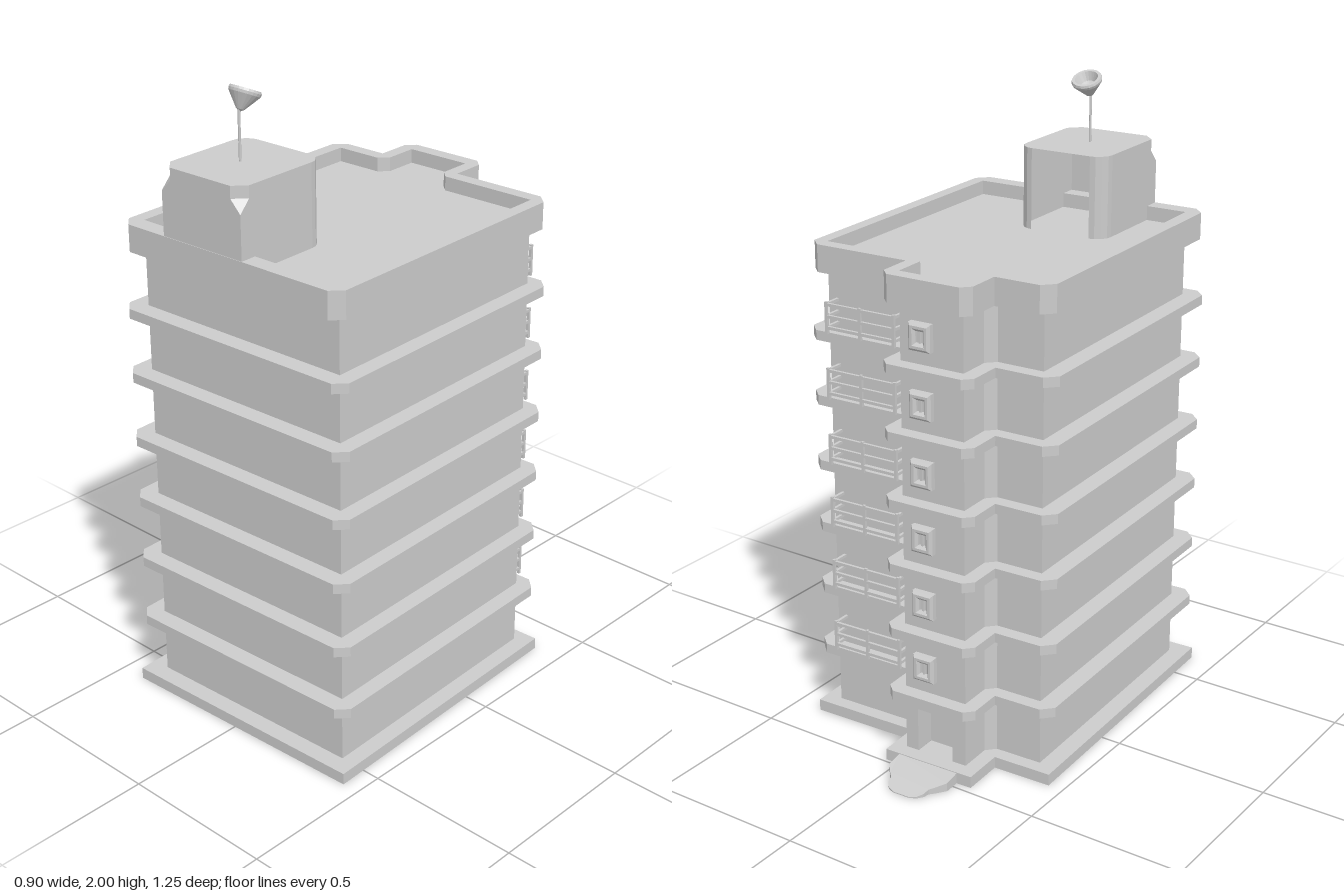
import * as THREE from 'three';

const MAT = new THREE.MeshStandardMaterial({ color: 0xcccccc, flatShading: true, side: THREE.DoubleSide });

function add(parent, name, geo, x = 0, y = 0, z = 0) {
  const m = new THREE.Mesh(geo, MAT);
  m.name = name;
  m.position.set(x, y, z);
  parent.add(m);
  return m;
}

// Replace every corner [x, z, cut] by two points
function chamfer(corners) {
  const n = corners.length, out = [];
  corners.forEach(([x, z, c], i) => {
    for (const [px, pz] of [corners[(i + n - 1) % n], corners[(i + 1) % n]]) {
      const l = Math.hypot(px - x, pz - z);
      out.push([x + (px - x) / l * c, z + (pz - z) / l * c]);
    }
  });
  return out;
}

// Floor plan: rectangle with a stair bay at the back
function plan(x0, x1, zf, zb, bx0, bx1, bz, c, k) {
  return chamfer([[x0, zf, c], [x1, zf, c], [x1, zb, c], [bx1, zb, k],
    [bx1, bz, c * 0.8], [bx0, bz, c * 0.8], [bx0, zb, k], [x0, zb, c]]);
}

// Skin over stacked outlines: levels = [[outline, y], ...]
function loft(levels, closed = true, skip = () => false) {
  const pos = [];
  const A = new THREE.Vector3(), B = new THREE.Vector3();
  const tri = (a, b, c) => {
    A.subVectors(b, a);
    B.subVectors(c, a);
    if (A.cross(B).length() > 1e-9) for (const p of [a, b, c]) pos.push(p.x, p.y, p.z);
  };
  for (let l = 0; l + 1 < levels.length; l++) {
    const [lo, y0] = levels[l], [hi, y1] = levels[l + 1], n = lo.length;
    for (let i = 0; i < (closed ? n : n - 1); i++) {
      if (skip(l, i)) continue;
      const j = (i + 1) % n;
      const a = new THREE.Vector3(lo[i][0], y0, lo[i][1]), b = new THREE.Vector3(lo[j][0], y0, lo[j][1]);
      const c = new THREE.Vector3(hi[j][0], y1, hi[j][1]), d = new THREE.Vector3(hi[i][0], y1, hi[i][1]);
      tri(a, b, c);
      tri(a, c, d);
    }
  }
  const g = new THREE.BufferGeometry();
  g.setAttribute('position', new THREE.Float32BufferAttribute(pos, 3));
  g.computeVertexNormals();
  return g;
}

const shapeOf = (pts) => new THREE.Shape(pts.map(([x, z]) => new THREE.Vector2(x, -z)));
const cap = (pts) => new THREE.ShapeGeometry(shapeOf(pts)).rotateX(-Math.PI / 2);

function balcony() {
  const g = new THREE.Group();
  g.name = 'balconyRailing';
  const x0 = 0.095, x1 = 0.335, zb = -0.305, zf = -0.362, t = 0.009;
  for (const y of [0.02, 0.055, 0.092]) {
    add(g, 'frontRail', new THREE.BoxGeometry(x1 - x0, t, t), (x0 + x1) / 2, y, zf);
    for (const x of [x0, x1]) add(g, 'sideRail', new THREE.BoxGeometry(t, t, zb - zf), x, y, (zb + zf) / 2);
  }
  for (const x of [x0, (x0 + x1) / 2, x1]) add(g, 'railPost', new THREE.BoxGeometry(t, 0.1, t), x, 0.05, zf);
  return g;
}

function bayWindow() {
  const g = new THREE.Group();
  g.name = 'bayWindow';
  const rect = (C, w, h) => new C([[-w, -h], [w, -h], [w, h], [-w, h]].map(([x, y]) => new THREE.Vector2(x, y)));
  const s = rect(THREE.Shape, 0.029, 0.034);
  s.holes.push(rect(THREE.Path, 0.021, 0.026));
  add(g, 'windowFrame', new THREE.ExtrudeGeometry(s, {
    depth: 0.016, bevelSize: 0.008, bevelThickness: 0.008, bevelSegments: 1 }), 0, 0, -0.018);
  add(g, 'windowPane', new THREE.BoxGeometry(0.05, 0.06, 0.012), 0, 0, -0.005);
  add(g, 'windowBar', new THREE.BoxGeometry(0.006, 0.06, 0.012), 0, 0, -0.012);
  return g;
}

export function createModel() {
  const root = new THREE.Group();
  root.name = 'apartmentBuilding';
  const b = new THREE.Group();
  b.name = 'building';
  b.rotation.y = 0.042;
  root.add(b);

  const wall = plan(-0.378, 0.367, 0.552, -0.305, -0.197, 0.018, -0.44, 0, 0.028);
  const base = plan(-0.436, 0.42, 0.608, -0.35, -0.245, 0.063, -0.487, 0, 0);
  const slab = plan(-0.436, 0.42, 0.608, -0.35, -0.245, 0.063, -0.487, 0.035, 0);
  const rim = plan(-0.422, 0.408, 0.606, -0.348, -0.24, 0.058, -0.485, 0.035, 0);

  // Hollow shell: walls stepping out around each floor slab, with a thin joint under the fifth slab
  const floors = [0.218, 0.43, 0.642, 0.849, 1.061, 1.268];
  const T = 0.031;
  const slabSteps = (y) => [[wall, y], [slab, y], [slab, y + T], [wall, y + T]];
  const doorEdge = (l, i) => l === 3 && i === 9;
  add(b, 'lowerStoreys', loft([[wall, 0], [base, 0], [base, 0.037], [wall, 0.037],
    ...floors.slice(0, 4).flatMap(slabSteps), [wall, 1.052]], true, doorEdge));
  add(b, 'upperStoreys', loft([...floors.slice(4).flatMap(slabSteps),
    [wall, 1.48], [rim, 1.48], [rim, 1.565], [wall, 1.565], [wall, 1.52]]));
  add(b, 'roof', cap(wall), 0, 1.52, 0);

  // Entrance in the stair bay
  const dx0 = -0.15, dx1 = -0.025, dh = 0.18;
  const front = new THREE.Shape([[-0.197, 0.037], [dx0, 0.037], [dx0, dh], [dx1, dh], [dx1, 0.037],
    [0.018, 0.037], [0.018, 0.218], [-0.197, 0.218]].map(([x, y]) => new THREE.Vector2(x, y)));
  add(b, 'entranceWall', new THREE.ShapeGeometry(front).rotateY(Math.PI).scale(-1, 1, 1), 0, 0, -0.44);
  const alcove = [[dx0, -0.44], [dx0, -0.37], [dx1, -0.37], [dx1, -0.44]];
  add(b, 'entranceAlcove', loft([[alcove, 0.037], [alcove, dh]], false));
  add(b, 'entranceCeiling', cap(alcove), 0, dh, 0);
  add(b, 'entranceFloor', cap(alcove), 0, 0.036, 0);

  // Rounded doorstep sloping to the ground
  const step = [[0, 0.105], [0.055, 0.105], [0.085, 0.082], [0.1, 0.068], [0.12, 0.064],
    [0.138, 0.05], [0.147, 0.028]];
  const half = step.map(([z, x]) => [-0.09 + x, -0.484 - z]);
  const stepPlan = [...half, ...step.map(([z, x]) => [-0.09 - x, -0.484 - z]).reverse()];
  const stepGeo = new THREE.ExtrudeGeometry(shapeOf(stepPlan), { depth: 0.035, bevelEnabled: false });
  stepGeo.rotateX(-Math.PI / 2);
  const p = stepGeo.attributes.position;
  for (let i = 0; i < p.count; i++) {
    const t = Math.min(1, Math.max(0, (-0.484 - p.getZ(i)) / 0.147));
    if (p.getY(i) > 0.01) p.setY(i, 0.003 + 0.032 * (1 - Math.pow(t, 1.4)));
  }
  stepGeo.computeVertexNormals();
  add(b, 'doorstep', stepGeo);

  // Balconies and stair windows on every upper floor
  for (const y of floors) {
    const rail = balcony();
    rail.position.y = y + T;
    const win = bayWindow();
    win.position.set(-0.06, y + T + 0.087, -0.44);
    b.add(rail, win);
  }

  // Roof hut, open at the back, front corners cut near the top
  const hx0 = -0.243, hx1 = 0.06, hz0 = 0.267, hz1 = 0.604;
  const hut = (c) => {
    const left = [[0.05, hz0], [0.032, hz0 + 0.003], [0.015, hz0 + 0.015], [0.003, hz0 + 0.032],
      [0, hz0 + 0.05], [0, hz1 - c], [c, hz1]];
    return [...left.map(([x, z]) => [hx0 + x, z]), ...left.map(([x, z]) => [hx1 - x, z]).reverse()];
  };
  add(b, 'roofHutWalls', loft([[hut(0), 1.52], [hut(0), 1.7], [hut(0.036), 1.738], [hut(0.036), 1.775]], false));
  add(b, 'roofHutTop', cap(hut(0.036)), 0, 1.775, 0);

  // Antenna with a tilted dish
  add(b, 'antennaPole', new THREE.CylinderGeometry(0.004, 0.004, 0.16, 8), -0.097, 1.85, 0.438);
  const profile = [[0, 0], [0.012, 0.008], [0.046, 0.052], [0.048, 0.06], [0.045, 0.067], [0.036, 0.067], [0.022, 0.042], [0, 0.034]];
  const dish = add(b, 'antennaDish', new THREE.LatheGeometry(profile.map(([x, y]) => new THREE.Vector2(x, y)), 20),
    -0.097, 1.917, 0.436);
  dish.rotation.x = -0.43;

  return root;
}
